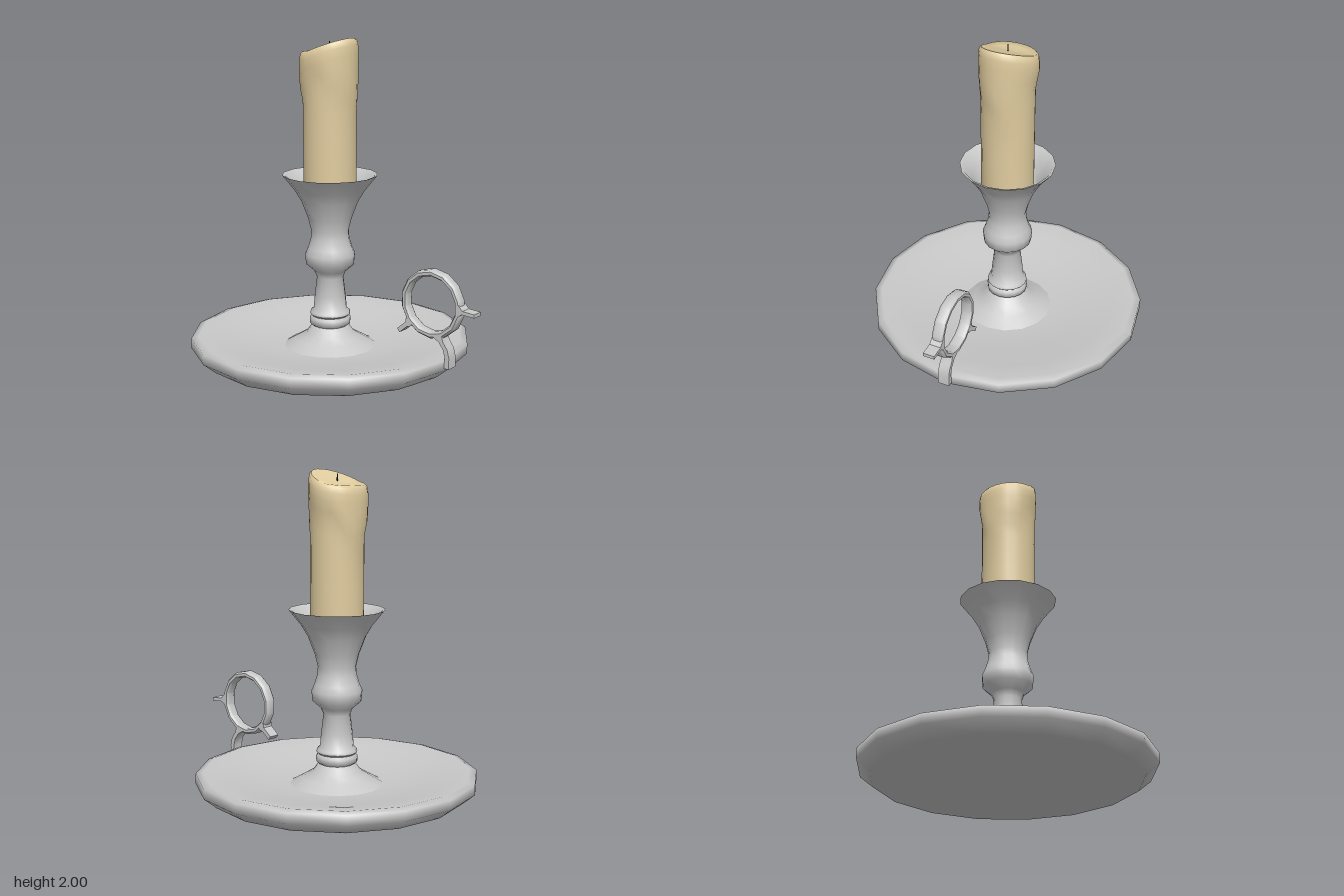
import * as THREE from 'three';
import { mergeVertices, toCreasedNormals } from 'three/addons/utils/BufferGeometryUtils.js';

const AXIS_X = -0.1; // centre line of dish, stem and candle
const HANDLE_Z = -0.01, HANDLE_W = 0.074;

const material = (name, color) => {
  const m = new THREE.MeshStandardMaterial({ color });
  m.name = name;
  return m;
};

// Revolved form from [radius, height] pairs
function turned(points, segments) {
  return new THREE.LatheGeometry(points.map(([r, y]) => new THREE.Vector2(r, y)), segments);
}

// Flat bar cut from an outline in the xy plane
function bar(points) {
  const shape = new THREE.Shape(points.map(([x, y]) => new THREE.Vector2(x, y)));
  const geo = new THREE.ExtrudeGeometry(shape, { depth: HANDLE_W, bevelEnabled: false });
  geo.translate(0, 0, HANDLE_Z - HANDLE_W / 2);
  return toCreasedNormals(geo, 0.7);
}

// Candle: a turned cylinder with a slanted top and soft wax bulges
function candleGeometry() {
  const geo = turned([
    [0.165, 0.98], [0.165, 1.3], [0.165, 1.54], [0.166, 1.62], [0.166, 1.7],
    [0.166, 1.77], [0.167, 1.84], [0.166, 1.89], [0.16, 1.925], [0.148, 1.94],
    [0.11, 1.937], [0.06, 1.935], [0, 1.935],
  ], 24);
  const p = geo.attributes.position;
  for (let i = 0; i < p.count; i++) {
    let x = p.getX(i), y = p.getY(i), z = p.getZ(i);
    const a = Math.atan2(z, x), r = Math.hypot(x, z);
    const right = Math.max(0, Math.cos(a));
    if (r > 0.14) {
      // bulges start lower on the left and right than at front and back
      const start = 1.62 - 0.1 * Math.cos(2 * a) + 0.03 * Math.sin(5 * a);
      const swell = THREE.MathUtils.smoothstep(y, start, start + 0.15);
      const k = 1 + (swell * (0.017 + 0.004 * Math.sin(3 * a + 1) - 0.006 * right)) / r;
      x *= k;
      z *= k;
    }
    const lift = THREE.MathUtils.smoothstep(y, 1.5, 1.93);
    const slope = x > -0.04 ? (x + 0.04) * 0.38 : (x + 0.04) * 0.12;
    p.setXYZ(i, x, y + lift * (slope - 0.015), z);
  }
  geo.deleteAttribute('uv');
  geo.deleteAttribute('normal');
  return toCreasedNormals(mergeVertices(geo, 1e-4), 0.95);
}

export function createModel() {
  const group = new THREE.Group();
  const metal = material('pale grey metal', 0xc8c8c8);
  const wax = material('cream wax', 0xe0cc9f);
  const char = material('charred wick', 0x222222);

  const add = (name, geo, mat, x = 0, y = 0, z = 0) => {
    const mesh = new THREE.Mesh(geo, mat);
    mesh.name = name;
    mesh.position.set(x, y, z);
    group.add(mesh);
    return mesh;
  };

  // Shallow drip dish
  add('dish', turned([
    [0, 0], [0.4, 0], [0.8, 0], [0.88, 0.065], [0.88, 0.128], [0.835, 0.14],
    [0.7, 0.118], [0.52, 0.085], [0.38, 0.064], [0.25, 0.055], [0, 0.055],
  ], 16), metal, AXIS_X);

  // Flared foot, collar, knop and cup in one turned profile
  const stem = turned([
    [0.29, 0.057], [0.215, 0.1], [0.15, 0.14], [0.125, 0.175], [0.11, 0.187],
    [0.128, 0.2], [0.13, 0.235], [0.115, 0.25], [0.128, 0.262], [0.124, 0.28],
    [0.106, 0.295], [0.098, 0.38], [0.084, 0.5], [0.1, 0.54], [0.152, 0.585],
    [0.158, 0.65], [0.14, 0.69], [0.122, 0.75], [0.118, 0.8], [0.138, 0.88],
    [0.18, 0.99], [0.222, 1.06], [0.298, 1.155],
    [0.28, 1.15], [0.22, 1.07], [0.185, 1.02], [0.17, 1.0], [0, 1.0],
  ], 16);
  add('stem and cup', toCreasedNormals(stem, 0.95), metal, AXIS_X);

  add('candle', candleGeometry(), wax, AXIS_X);
  add('wick', new THREE.CylinderGeometry(0.003, 0.004, 0.06, 6), char, AXIS_X, 1.947);

  // Finger ring: chamfered band turned about the z axis
  const w = HANDLE_W / 2;
  const ring = turned([
    [0.172, -w * 0.6], [0.182, -w], [0.2, -w], [0.212, -w * 0.6],
    [0.212, w * 0.6], [0.2, w], [0.182, w], [0.172, w * 0.6], [0.172, -w * 0.6],
  ], 14);
  ring.rotateX(Math.PI / 2);
  add('finger ring', toCreasedNormals(ring, 0.7), metal, 0.667, 0.456, HANDLE_Z);

  // Spurs on the ring and the curved bracket to the dish rim
  add('inner spur', bar([
    [0.435, 0.268], [0.452, 0.245], [0.505, 0.29], [0.54, 0.3], [0.53, 0.33], [0.498, 0.345], [0.495, 0.318],
  ]), metal);
  add('thumb rest', bar([
    [0.862, 0.415], [0.89, 0.434], [0.975, 0.428], [0.975, 0.45], [0.895, 0.456], [0.862, 0.49],
  ]), metal);
  add('handle bracket', bar([
    [0.69, 0.262], [0.735, 0.236], [0.765, 0.195], [0.778, 0.15], [0.775, 0.08],
    [0.808, 0.08], [0.808, 0.15], [0.795, 0.2], [0.765, 0.24], [0.752, 0.28],
  ]), metal);

  return group;
}
